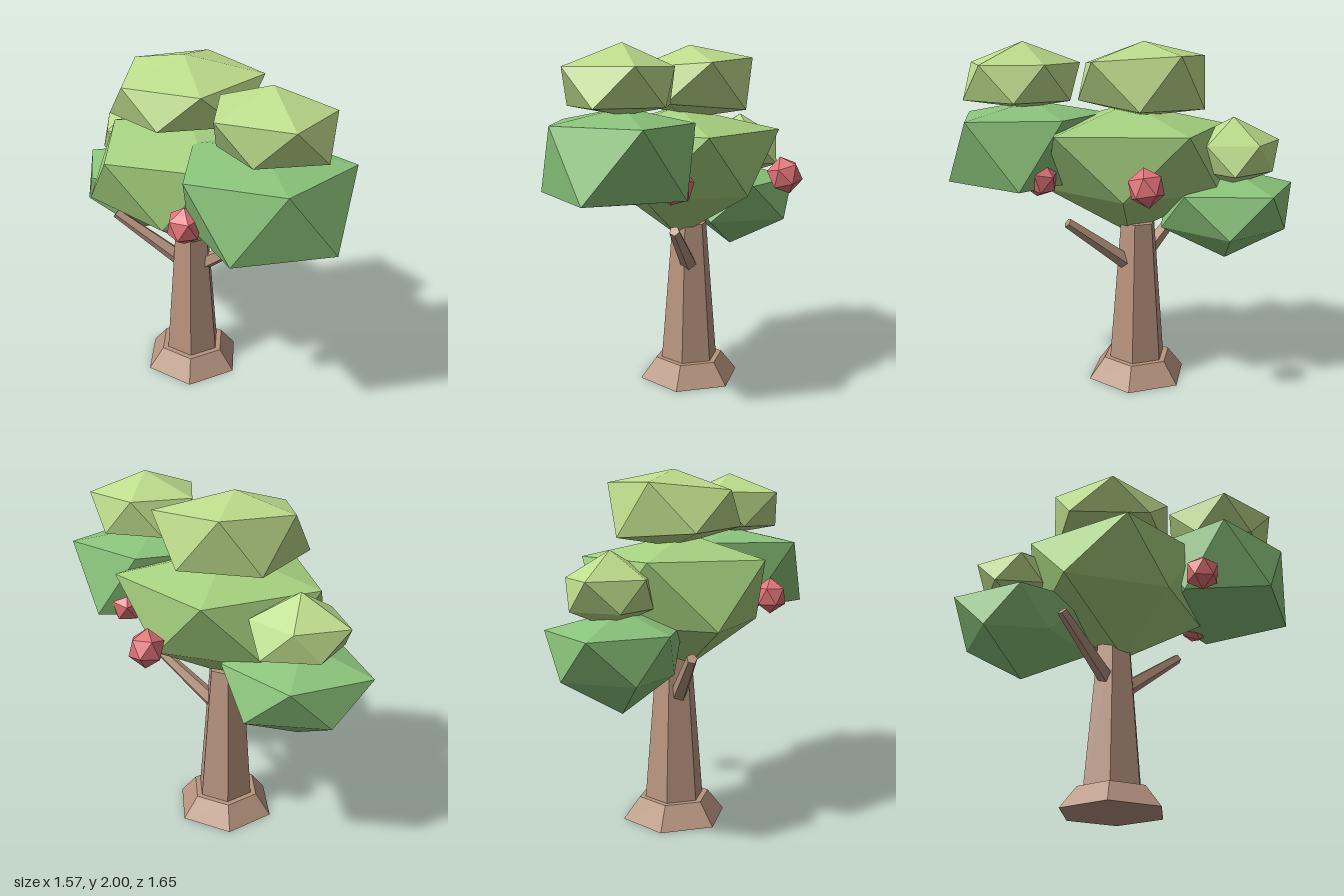
import * as THREE from 'three';

const mat = (color) => new THREE.MeshStandardMaterial({ color, flatShading: true });
const bark = mat(0xb8957f);
const darkLeaf = mat(0x8ac47a);
const midLeaf = mat(0xa6d27f);
const lightLeaf = mat(0xbcdc8a);
const fruitSkin = mat(0xe47478);

function add(parent, name, geometry, material, position = [0, 0, 0]) {
  const mesh = new THREE.Mesh(geometry, material);
  mesh.name = name;
  mesh.position.set(...position);
  parent.add(mesh);
  return mesh;
}

// Unit icosahedron standing on one corner, so it has two poles and two rings of five
function uprightIcosahedron() {
  const geo = new THREE.IcosahedronGeometry(1, 0);
  geo.rotateX(-Math.atan((1 + Math.sqrt(5)) / 2));
  geo.rotateY(THREE.MathUtils.degToRad(18));
  return geo;
}

// Lumpy leaf clump. Heights: bottom, lower ring, upper ring, top. Each ring has five
// spoke lengths, 72 degrees apart. A wedge makes the clump thicker towards the back.
function clumpGeometry([bottom, low, high, top], upper, lower, wedge = 0) {
  const geo = uprightIcosahedron();
  const p = geo.attributes.position;
  for (let i = 0; i < p.count; i++) {
    const y = p.getY(i);
    if (Math.abs(y) > 0.9) {
      p.setXYZ(i, 0, y > 0 ? top : bottom, 0);
      continue;
    }
    const angle = THREE.MathUtils.radToDeg(Math.atan2(p.getX(i), p.getZ(i)));
    const step = Math.round((angle - (y > 0 ? 18 : 54)) / 72);
    const spoke = (y > 0 ? upper : lower)[(step + 5) % 5];
    const turn = THREE.MathUtils.degToRad(angle);
    const z = spoke * Math.cos(turn);
    p.setXYZ(i, spoke * Math.sin(turn), y > 0 ? high - wedge * z : low + wedge * z, z);
  }
  geo.computeVertexNormals();
  return geo;
}

// Tapered limb between two points
function limb(parent, name, from, to) {
  const a = new THREE.Vector3(...from);
  const b = new THREE.Vector3(...to);
  const dir = b.clone().sub(a);
  const mesh = add(parent, name, new THREE.CylinderGeometry(0.03, 0.05, dir.length(), 5), bark);
  mesh.position.copy(a).add(b).multiplyScalar(0.5);
  mesh.quaternion.setFromUnitVectors(new THREE.Vector3(0, 1, 0), dir.normalize());
}

export function createModel() {
  const tree = new THREE.Group();
  tree.name = 'tree';

  // Six-sided trunk on a flared foot
  const [tx, tz] = [-0.087, -0.07];
  add(tree, 'trunkFoot', new THREE.CylinderGeometry(0.208, 0.305, 0.125, 6), bark, [tx, 0.0625, tz]);
  add(tree, 'trunk', new THREE.CylinderGeometry(0.105, 0.175, 0.86, 6), bark, [tx, 0.53, tz]);

  limb(tree, 'leftBranch', [-0.03, 0.71, -0.055], [0.305, 0.995, 0.125]);
  limb(tree, 'rightBranch', [-0.13, 0.72, -0.06], [-0.54, 1.02, -0.1]);

  // Leaf clumps: name, material, centre x and z, heights, upper and lower spokes
  const clumps = [
    ['middleClump', midLeaf, [-0.09, 0], [0.88, 1.17, 1.52, 1.65],
      [0.45, 0.62, 0.59, 0.58, 0.525], [0.49, 0.5, 0.55, 0.575, 0.4]],
    ['topClump', lightLeaf, [-0.12, -0.08], [1.58, 1.66, 1.9, 2],
      [0.36, 0.44, 0.365, 0.365, 0.385], [0.38, 0.4, 0.365, 0.42, 0.375], 0.08],
    ['frontLeftClump', darkLeaf, [0.3, 0.4], [1.15, 1.22, 1.59, 1.67],
      [0.42, 0.49, 0.38, 0.44, 0.46], [0.485, 0.43, 0.3, 0.37, 0.445]],
    ['frontLeftTopClump', lightLeaf, [0.35, 0.41], [1.63, 1.68, 1.88, 2],
      [0.34, 0.32, 0.27, 0.325, 0.345], [0.34, 0.29, 0.29, 0.275, 0.29]],
    ['backRightClump', darkLeaf, [-0.45, -0.45], [0.73, 0.94, 1.17, 1.28],
      [0.38, 0.43, 0.4, 0.41, 0.32], [0.4, 0.41, 0.35, 0.325, 0.27]],
    ['backRightTopClump', lightLeaf, [-0.42, -0.5], [1.18, 1.28, 1.44, 1.58],
      [0.25, 0.265, 0.23, 0.285, 0.24], [0.24, 0.28, 0.235, 0.245, 0.22]],
  ];
  for (const [name, material, [x, z], ...shape] of clumps) {
    add(tree, name, clumpGeometry(...shape), material, [x, 0, z]);
  }

  // Fruit: position and turn
  const fruit = [
    [[-0.08, 1.28, 0.52], [0, 0, 0]],
    [[0.475, 1.27, 0.16], [-0.3, 0.3, 0]],
    [[0.365, 1.29, -0.49], [0.2, 0.6, 0.1]],
  ];
  fruit.forEach(([position, turn], i) => {
    add(tree, `fruit${i + 1}`, uprightIcosahedron().scale(0.1, 0.105, 0.1), fruitSkin, position)
      .rotation.set(...turn);
  });

  return tree;
}
